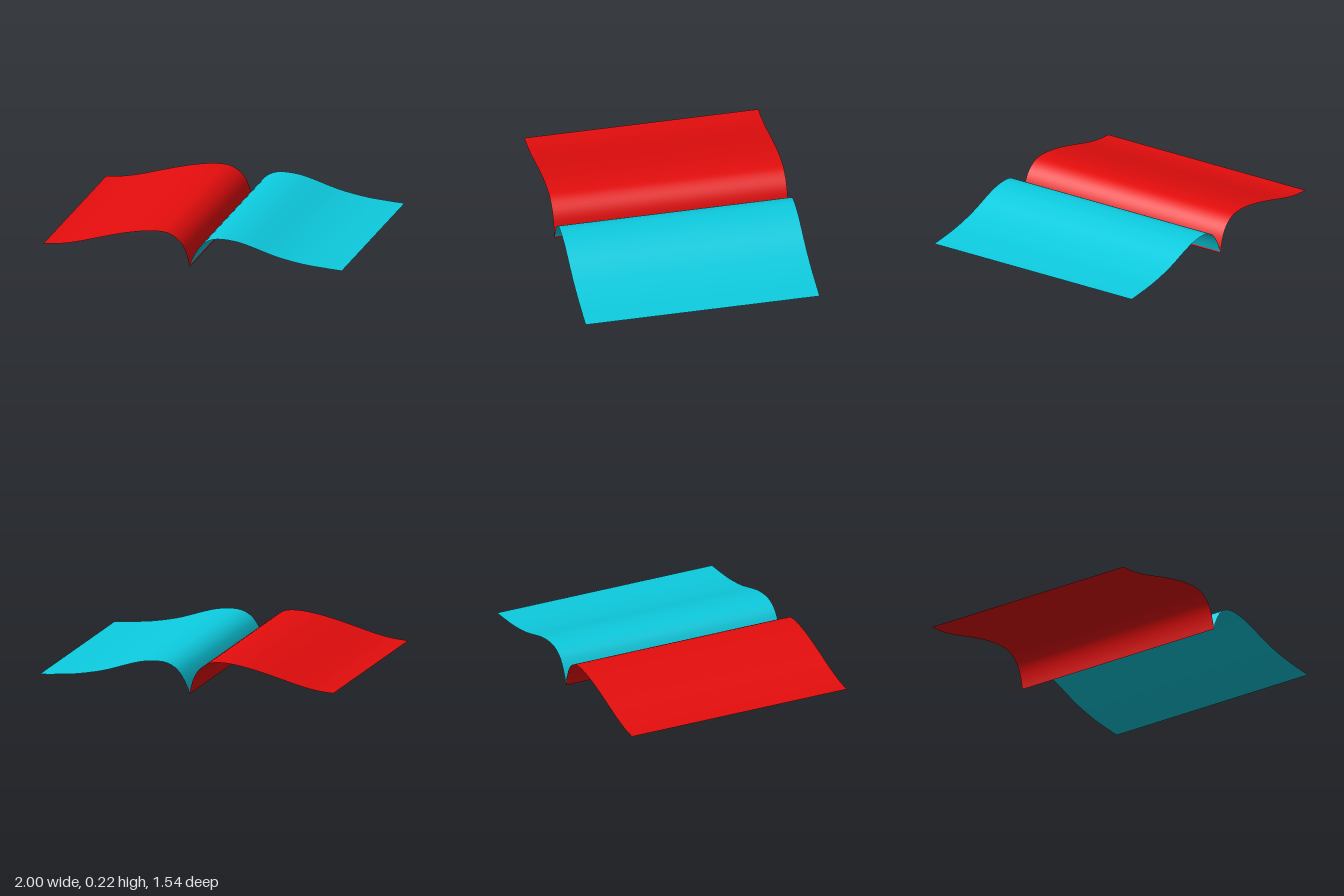
import * as THREE from 'three';

const HALF_DEPTH = 0.772;
const SEGMENTS = 48;

// Sweeps a smooth x-y profile straight along z into a thin sheet.
function makeSheet(name, color, profile) {
  const curve = new THREE.SplineCurve(profile.map(([x, y]) => new THREE.Vector2(x, y)));
  const points = curve.getSpacedPoints(SEGMENTS);
  const geometry = new THREE.PlaneGeometry(2, 2 * HALF_DEPTH, SEGMENTS, 1);
  geometry.rotateX(-Math.PI / 2);
  const position = geometry.attributes.position;
  for (let i = 0; i < position.count; i++) {
    const p = points[i % (SEGMENTS + 1)];
    position.setXY(i, p.x, Math.max(0, p.y));
  }
  geometry.computeVertexNormals();
  const material = new THREE.MeshStandardMaterial({ color, side: THREE.DoubleSide });
  const mesh = new THREE.Mesh(geometry, material);
  mesh.name = name;
  return mesh;
}

export function createModel() {
  const group = new THREE.Group();
  group.name = 'openPages';

  // Red sheet: rises from the outer edge, then rolls down into the valley
  group.add(makeSheet('redPage', 0xe60d0d, [
    [-1, 0.078], [-0.9, 0.086], [-0.78, 0.109], [-0.6, 0.158], [-0.5, 0.184],
    [-0.4, 0.206], [-0.3, 0.221], [-0.22, 0.224], [-0.16, 0.215], [-0.1, 0.18],
    [-0.06, 0.13], [-0.035, 0.065], [-0.02, 0],
  ]));

  // Cyan sheet: climbs out of the valley and slopes down to the outer edge
  group.add(makeSheet('cyanPage', 0x0dcce0, [
    [-0.02, 0.01], [0, 0.06], [0.03, 0.115], [0.07, 0.163], [0.13, 0.195],
    [0.2, 0.203], [0.3, 0.193], [0.4, 0.166], [0.5, 0.133], [0.6, 0.105],
    [0.75, 0.077], [0.9, 0.062], [1, 0.055],
  ]));

  return group;
}
